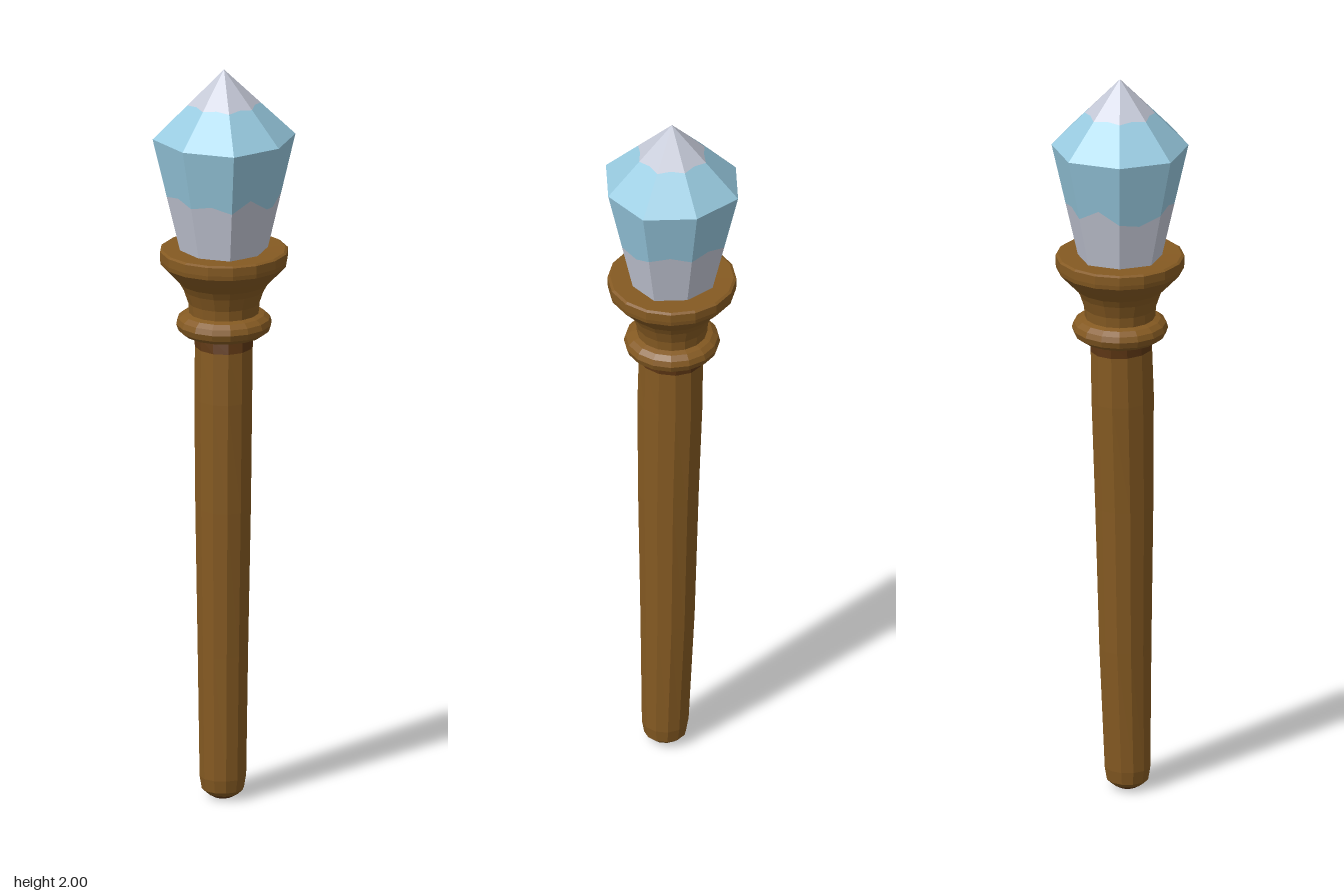
import * as THREE from 'three';

const mat = (name, color) => {
  const m = new THREE.MeshStandardMaterial({ color });
  m.name = name;
  return m;
};

// Faceted normals
function faceted(geometry) {
  const g = geometry.index ? geometry.toNonIndexed() : geometry;
  g.computeVertexNormals();
  return g;
}

// Lathe whose rings are [y, radiusX, radiusZ, centreX, centreZ], bottom to top
function loft(rings, sides) {
  const g = new THREE.LatheGeometry(rings.map(r => new THREE.Vector2(1, r[0])), sides);
  const p = g.attributes.position;
  for (let i = 0; i < p.count; i++) {
    const [y, rx, rz = rx, cx = 0, cz = 0] = rings[i % rings.length];
    p.setXYZ(i, p.getX(i) * rx + cx, y, p.getZ(i) * rz + cz);
  }
  return faceted(g);
}

// Crystal silhouette: radius at a given height
const TIP = 2, GIRDLE = 1.815, BASE = 1.48;
const crystalRadius = y => y > GIRDLE
  ? 0.19 * (TIP - y) / (TIP - GIRDLE)
  : THREE.MathUtils.lerp(0.111, 0.19, (y - BASE) / (GIRDLE - BASE));

// Band of the octagonal crystal; each level gives a height per sixteenth of a turn
function crystalBand(levels) {
  const n = 16;
  const corner = k => {
    const a = k * Math.PI / 4, s = k % 2 ? 0.95 : 1;
    return new THREE.Vector2(Math.sin(a) * s, Math.cos(a) * s);
  };
  const g = new THREE.LatheGeometry(levels.map((_, j) => new THREE.Vector2(1, j)), n);
  const p = g.attributes.position;
  for (let i = 0; i < p.count; i++) {
    const step = Math.floor(i / levels.length) % n;
    const y = levels[i % levels.length](step);
    const k = Math.floor(step / 2);
    const d = corner(k).lerp(corner(k + 1), step % 2 ? 0.5 : 0).multiplyScalar(crystalRadius(y));
    p.setXYZ(i, d.x, y, d.y);
  }
  return faceted(g);
}

export function createModel() {
  const group = new THREE.Group();
  const wood = mat('wood brown', 0x855a22);
  const darkWood = mat('dark wood', 0x5e3714);
  const blue = mat('crystal blue', 0x98cae0);
  const pale = mat('crystal pale', 0xc4c8d6);
  const add = (name, geometry, material) => {
    const m = new THREE.Mesh(geometry, material);
    m.name = name;
    group.add(m);
  };

  // Slightly crooked handle with a rounded foot
  add('handle', loft([
    [0.012, 0.042, 0.042, -0.006, 0.022],
    [0.025, 0.056, 0.056, -0.006, 0.022],
    [0.06, 0.062, 0.062, -0.006, 0.022],
    [0.4, 0.067, 0.073, -0.005, 0.015],
    [0.8, 0.074, 0.082, -0.004, 0.012],
    [1.1, 0.077, 0.089, -0.003, 0.007],
    [1.24, 0.077, 0.087, -0.001, 0.004],
  ], 12), wood);
  add('handleFoot', loft([
    [0, 0, 0, -0.006, 0.022],
    [0.002, 0.025, 0.025, -0.006, 0.022],
    [0.012, 0.042, 0.042, -0.006, 0.022],
  ], 12), darkWood);
  add('handleShadowBand', loft([
    [1.24, 0.077, 0.087, -0.001, 0.004],
    [1.275, 0.08, 0.084],
  ], 12), darkWood);

  // Ring collar below the cup
  add('collar', loft([
    [1.27, 0.07], [1.273, 0.105], [1.285, 0.121], [1.302, 0.127],
    [1.317, 0.122], [1.328, 0.108], [1.335, 0.085],
  ], 16), wood);

  // Flared cup with a flat rim
  add('cup', loft([
    [1.32, 0.092], [1.36, 0.095], [1.395, 0.107], [1.415, 0.118], [1.44, 0.142],
    [1.468, 0.168], [1.48, 0.17], [1.503, 0.17], [1.507, 0.163], [1.503, 0],
  ], 16), wood);

  // Crystal: pale base, blue body, pale tip, with wavy colour borders
  const wave = [0, 0.03, -0.005, -0.015, 0.01, 0.02, 0.005, 0.015];
  const lower = i => 1.645 + wave[i % 8];
  const upper = i => 1.905 + (i % 2 ? 0.004 : 0);
  add('crystalBase', crystalBand([() => BASE, lower]), pale);
  add('crystalBody', crystalBand([lower, () => GIRDLE, upper]), blue);
  add('crystalTip', crystalBand([upper, () => TIP]), pale);

  return group;
}
